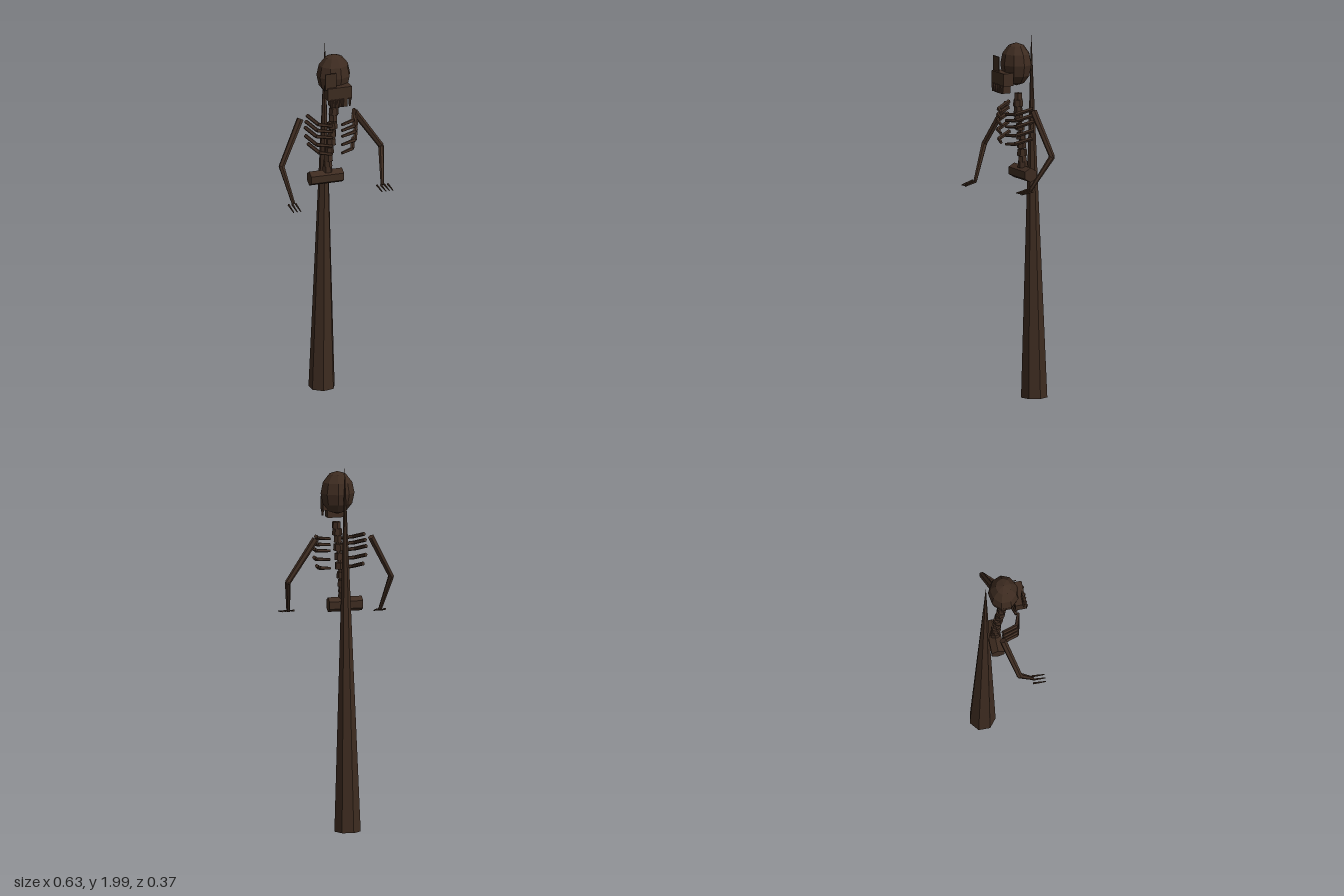
import * as THREE from 'three';

export function createModel() {
  const model = new THREE.Group();
  model.name = 'impaledSkeleton';
  const char = new THREE.MeshStandardMaterial({ color: 0x3d2b20, flatShading: true });
  char.name = 'charredBrown';

  const V = (p) => new THREE.Vector3(...p);
  function add(name, geometry, parent = model) {
    const mesh = new THREE.Mesh(geometry, char);
    mesh.name = name;
    parent.add(mesh);
    return mesh;
  }
  // tapered rod between two points
  function rod(name, a, b, ra, rb, parent, sides = 6) {
    const from = V(a), to = V(b), dir = to.clone().sub(from);
    const mesh = add(name, new THREE.CylinderGeometry(rb, ra, dir.length(), sides), parent);
    mesh.position.copy(from).add(to).multiplyScalar(0.5);
    mesh.quaternion.setFromUnitVectors(new THREE.Vector3(0, 1, 0), dir.normalize());
    return mesh;
  }
  function box(name, x0, x1, y0, y1, z0, z1) {
    const mesh = add(name, new THREE.BoxGeometry(x1 - x0, y1 - y0, z1 - z0));
    mesh.position.set((x0 + x1) / 2, (y0 + y1) / 2, (z0 + z1) / 2);
    return mesh;
  }

  // leaning stake, seven sided, running to a sharp tip
  const stake = new THREE.CylinderGeometry(0.001, 0.073, 1.99, 7, 1);
  stake.rotateY(Math.PI / 2).translate(0, 0.995, 0);
  const pos = stake.attributes.position;
  for (let i = 0; i < pos.count; i++) {
    const t = pos.getY(i) / 1.99;
    pos.setX(i, pos.getX(i) - 0.017 + 0.009 * t);
    pos.setZ(i, pos.getZ(i) - 0.114 + 0.022 * t);
  }
  stake.computeVertexNormals();
  add('stake', stake);

  // skull
  const skull = add('skull', new THREE.SphereGeometry(1, 9, 6));
  skull.scale.set(0.094, 0.118, 0.084);
  skull.position.set(0.006, 1.842, 0.008);
  skull.rotation.y = Math.PI;

  // face bones and teeth
  box('upperJaw', -0.066, 0.071, 1.735, 1.805, 0.06, 0.12);
  box('lowerJaw', -0.045, 0.045, 1.692, 1.735, 0.064, 0.118);
  box('eyePlate', -0.077, -0.014, 1.795, 1.885, 0.1, 0.107);
  for (const x of [-0.048, -0.027, -0.005, 0.015, 0.057])
    rod('tooth', [x, 1.74, 0.122], [x, 1.695, 0.122], 0.01, 0.005, model, 5);

  // spine of stacked vertebrae
  const spine = new THREE.CatmullRomCurve3([
    [0.014, 1.665, 0.0], [0.006, 1.58, -0.004], [0.004, 1.47, -0.02],
    [-0.008, 1.36, -0.035], [-0.012, 1.285, -0.042],
  ].map(V));
  const count = 10;
  for (let i = 0; i < count; i++) {
    const p = spine.getPoint(i / (count - 1));
    const r = 0.025 + 0.003 * (i % 2);
    const v = add('vertebra', new THREE.CylinderGeometry(r * 0.9, r, 0.036, 6));
    v.position.copy(p);
    v.rotation.y = i * 0.4;
  }
  rod('spineCore', [0.014, 1.67, 0], [-0.012, 1.28, -0.042], 0.013, 0.013);

  // pelvis, a six sided bar lying across
  const pelvis = add('pelvis', new THREE.CylinderGeometry(0.04, 0.04, 0.188, 6));
  pelvis.rotation.z = Math.PI / 2;
  pelvis.rotation.x = 0;
  pelvis.geometry.rotateY(Math.PI / 2);
  pelvis.position.set(-0.021, 1.237, -0.045);

  // rib cage, each rib a bent rod open at the back
  const ribs = [[1.58, 0.135], [1.547, 0.142], [1.513, 0.147], [1.465, 0.145], [1.417, 0.13]];
  for (const side of [-1, 1]) {
    for (const [y, w] of ribs) {
      const rib = new THREE.Group();
      rib.name = side > 0 ? 'leftRib' : 'rightRib';
      model.add(rib);
      const back = [side * w, y + 0.032, -0.024];
      const bend = [side * (w - 0.036), y + 0.004, 0.06];
      const tip = [side * 0.026, y - 0.006, 0.083];
      rod('ribBack', back, bend, 0.011, 0.011, rib, 5);
      rod('ribFront', bend, tip, 0.011, 0.008, rib, 5);
    }
  }

  // arms with reaching fingers
  const arms = [
    { name: 'rightArm', shoulder: [-0.172, 1.595, -0.03], elbow: [-0.303, 1.36, 0.036],
      wrist: [-0.262, 1.165, 0.115], fingers: [-0.291, -0.27, -0.25], drop: 0.02 },
    { name: 'leftArm', shoulder: [0.138, 1.598, -0.027], elbow: [0.3, 1.373, -0.053],
      wrist: [0.266, 1.192, 0.064], fingers: [0.235, 0.257, 0.277, 0.297], drop: 0.012 },
  ];
  for (const a of arms) {
    const arm = new THREE.Group();
    arm.name = a.name;
    model.add(arm);
    rod('upperArm', a.shoulder, a.elbow, 0.019, 0.016, arm);
    rod('forearm', a.elbow, a.wrist, 0.016, 0.01, arm);
    const elbow = add('elbow', new THREE.IcosahedronGeometry(0.016, 0), arm);
    elbow.position.set(...a.elbow);
    for (const x of a.fingers) {
      const y = a.wrist[1], z = a.wrist[2];
      rod('finger', [x, y, z], [x + 0.004, y - a.drop, z + 0.07], 0.006, 0.003, arm, 5);
    }
  }
  return model;
}
